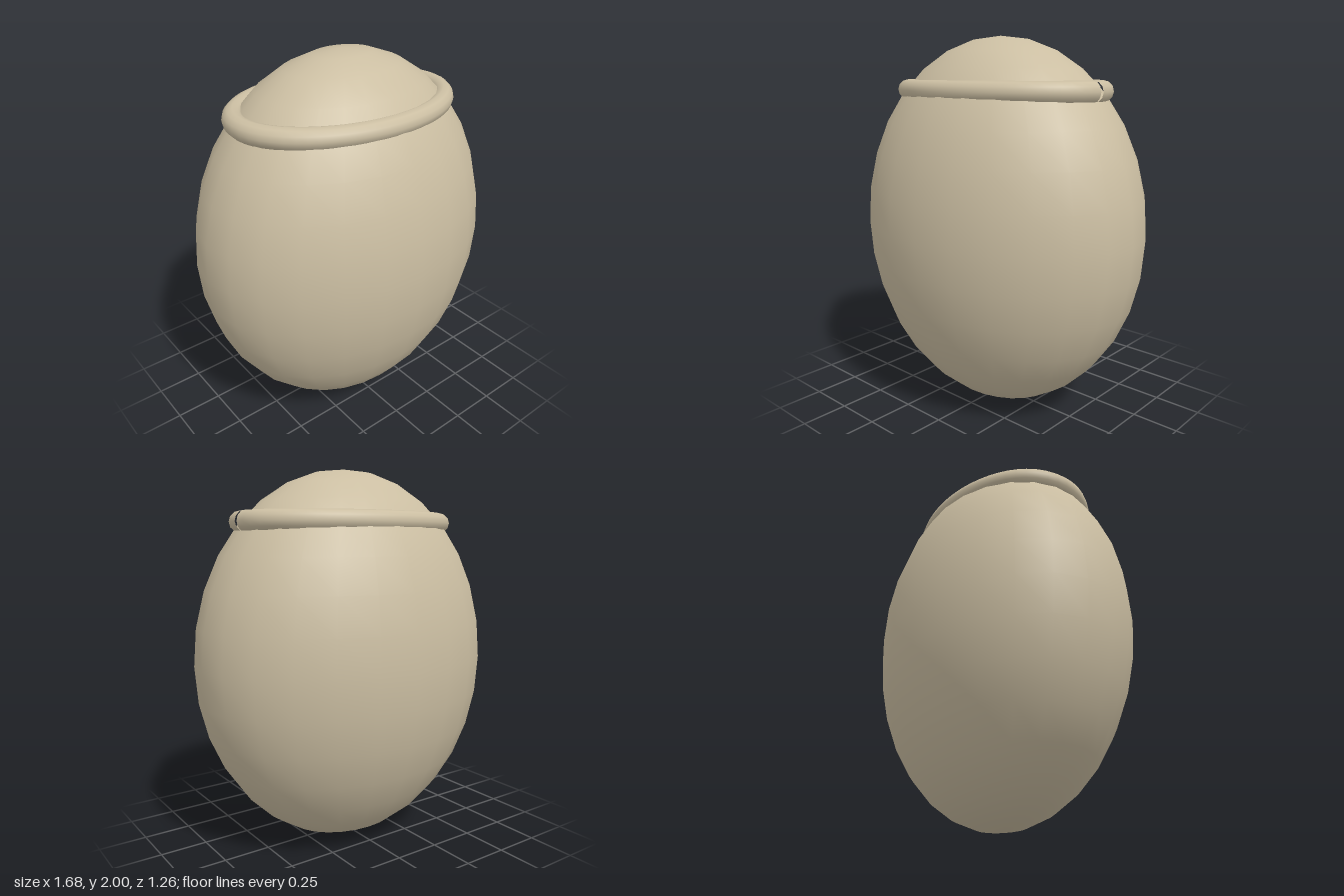
import * as THREE from 'three';

export function createModel() {
  const group = new THREE.Group();
  const clay = new THREE.MeshStandardMaterial({ color: 0xcbbea2 });
  clay.name = 'sandy beige';

  // Egg-shaped body: a sphere squashed in x and z
  const bodyShape = new THREE.SphereGeometry(1, 24, 16);
  bodyShape.scale(0.84, 1, 0.63);
  const body = new THREE.Mesh(bodyShape, clay);
  body.name = 'body';
  body.position.y = 1;
  group.add(body);

  // Oval rim round the shoulder; its two ends meet in a small notch on +x
  const points = [];
  for (let i = 0; i <= 24; i++) {
    const a = (i / 24) * Math.PI * 2;
    points.push(new THREE.Vector3(0.585 * Math.cos(a), 0, 0.402 * Math.sin(a)));
  }
  const path = new THREE.CatmullRomCurve3(points);
  const rim = new THREE.Mesh(new THREE.TubeGeometry(path, 64, 0.054, 12, false), clay);
  rim.name = 'rim';
  rim.position.y = 1.723;
  group.add(rim);

  return group;
}
